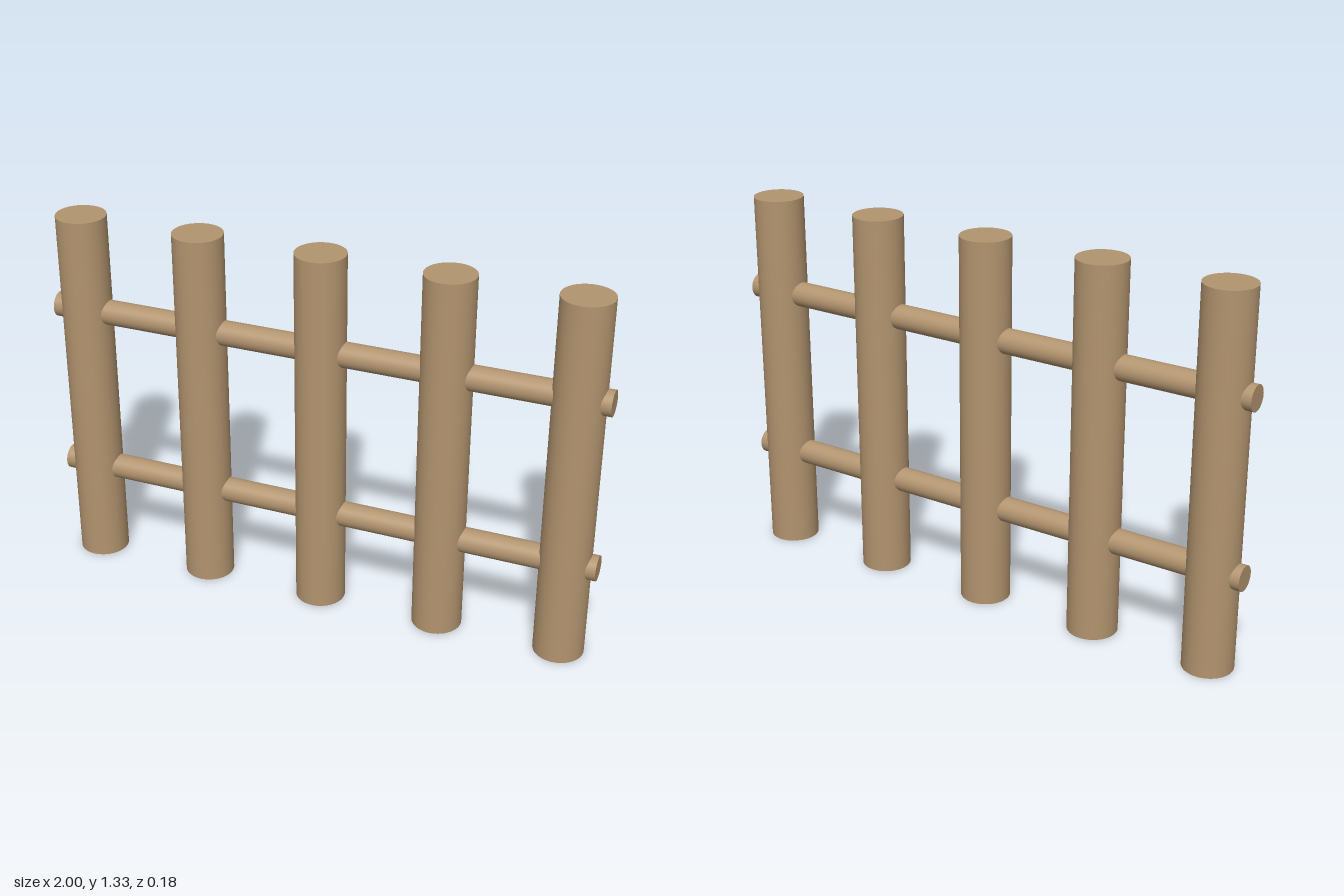
import * as THREE from 'three';

export function createModel() {
  const fence = new THREE.Group();
  fence.name = 'fence';
  const wood = new THREE.MeshStandardMaterial({ color: 0xb2946f });

  // Five upright round posts, evenly spaced
  const height = 1.333, spacing = 0.444;
  const postGeometry = new THREE.CylinderGeometry(0.0885, 0.0885, height, 48);
  for (let i = -2; i <= 2; i++) {
    const post = new THREE.Mesh(postGeometry, wood);
    post.name = `post${i + 3}`;
    post.position.set(i * spacing, height / 2, 0);
    fence.add(post);
  }

  // Two thin round rails running through the posts
  const railGeometry = new THREE.CylinderGeometry(0.0444, 0.0444, 2, 48).rotateZ(Math.PI / 2);
  for (const [name, y] of [['lowerRail', 0.357], ['upperRail', 0.98]]) {
    const rail = new THREE.Mesh(railGeometry, wood);
    rail.name = name;
    rail.position.y = y;
    fence.add(rail);
  }
  return fence;
}
